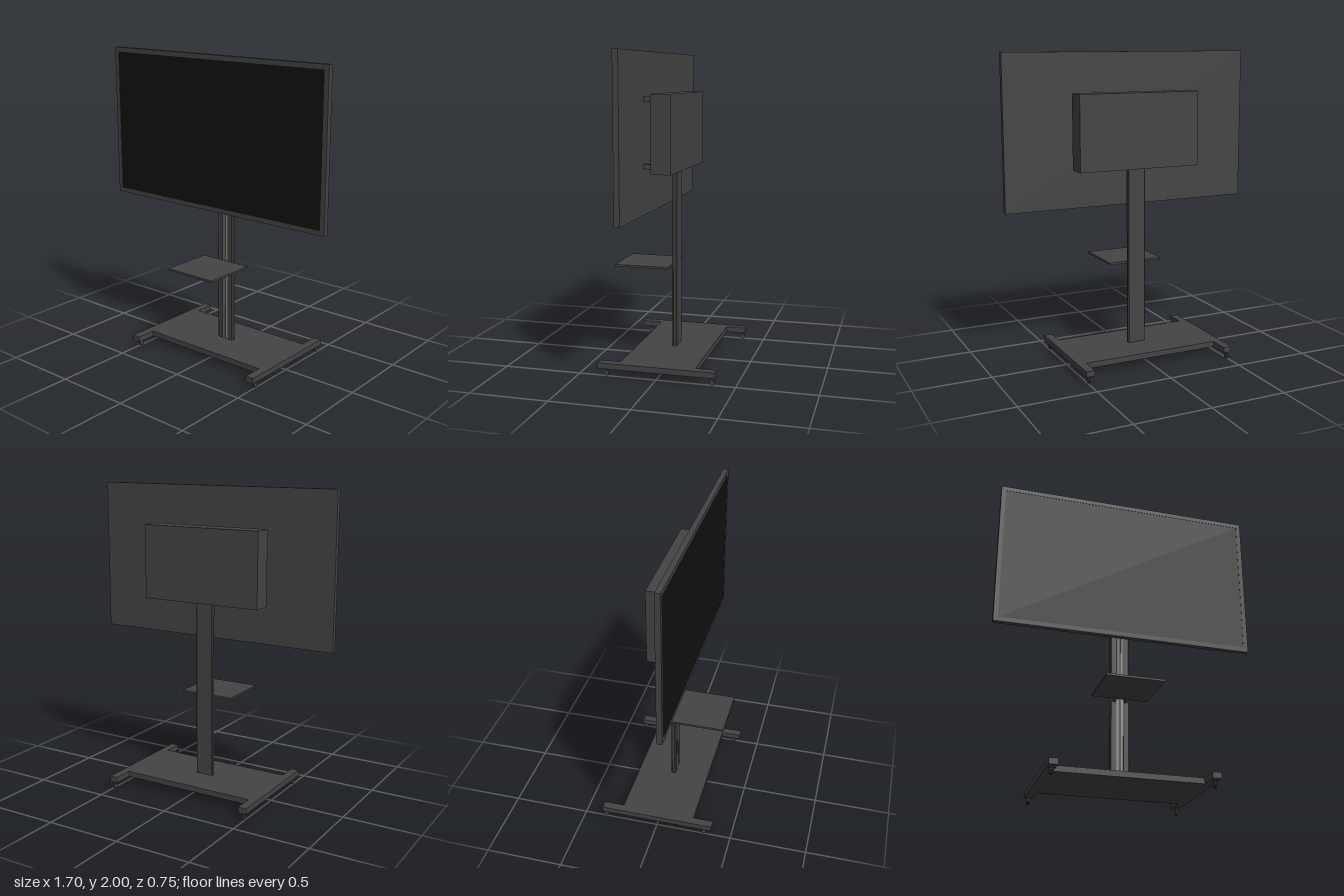
import * as THREE from 'three';

const dark = new THREE.MeshStandardMaterial({ color: 0x444444 });
const black = new THREE.MeshStandardMaterial({ color: 0x111111 });
const silver = new THREE.MeshStandardMaterial({ color: 0x8a8a8a });

function add(parent, name, geometry, material = dark) {
  const mesh = new THREE.Mesh(geometry, material);
  mesh.name = name;
  parent.add(mesh);
  return mesh;
}

// Box given by its limits on each axis
function block(parent, name, [x0, x1], [y0, y1], [z0, z1], material) {
  const mesh = add(parent, name, new THREE.BoxGeometry(x1 - x0, y1 - y0, z1 - z0), material);
  mesh.position.set((x0 + x1) / 2, (y0 + y1) / 2, (z0 + z1) / 2);
  return mesh;
}

function polygon(points) {
  return new THREE.Shape(points.map(([x, y]) => new THREE.Vector2(x, y)));
}

const extrude = (shape, depth) =>
  new THREE.ExtrudeGeometry(shape, { depth, bevelEnabled: false });

// Extrusion whose shape lies in the floor plan (x, -z) and rises in y
function plan(shape, y0, y1) {
  return extrude(shape, y1 - y0).rotateX(-Math.PI / 2).translate(0, y0, 0);
}

function createCaster(x, z) {
  const caster = new THREE.Group();
  caster.name = 'caster';
  caster.position.set(x, 0, z);
  block(caster, 'casterPlate', [-0.013, 0.013], [0.043, 0.049], [-0.013, 0.013]);
  const stem = add(caster, 'casterStem', new THREE.CylinderGeometry(0.005, 0.005, 0.018, 12));
  stem.position.y = 0.038;
  block(caster, 'casterFork', [-0.007, 0.007], [0.026, 0.034], [-0.012, 0.01]);
  for (const s of [-1, 1]) {
    const wheel = add(caster, 'casterWheel',
      new THREE.CylinderGeometry(0.016, 0.016, 0.005, 20).rotateZ(Math.PI / 2));
    wheel.position.set(s * 0.005, 0.016, -0.006);
  }
  return caster;
}

export function createModel() {
  const model = new THREE.Group();
  model.name = 'displayStand';

  // H-shaped base on four casters
  const [arm, inner, foot, plate] = [0.517, 0.462, 0.375, 0.241];
  const base = polygon([
    [-arm, -foot], [-inner, -foot], [-inner, -plate], [inner, -plate],
    [inner, -foot], [arm, -foot], [arm, foot], [inner, foot],
    [inner, plate], [-inner, plate], [-inner, foot], [-arm, foot],
  ]);
  add(model, 'base', plan(base, 0.048, 0.085));
  for (const x of [-0.493, 0.493])
    for (const z of [0.328, -0.348]) model.add(createCaster(x, z));

  // Column with a slot down its front
  const column = polygon([
    [-0.056, 0.015], [-0.062, 0.009], [-0.062, -0.009], [-0.056, -0.015],
    [-0.022, -0.015], [-0.022, -0.009], [0.022, -0.009], [0.022, -0.015],
    [0.056, -0.015], [0.062, -0.009], [0.062, 0.009], [0.056, 0.015],
  ]);
  add(model, 'column', plan(column, 0.08, 1.3));
  for (const s of [-1, 1]) {
    const rail = block(model, 'columnRail', [-0.006, 0.006], [0.085, 1.27], [0.008, 0.013], silver);
    rail.position.x = s * 0.014;
  }

  // Shelf on two triangular brackets
  block(model, 'shelf', [-0.184, 0.184], [0.627, 0.64], [0.012, 0.368]);
  const gusset = polygon([[-0.012, 0.602], [-0.012, 0.628], [-0.06, 0.628]]);
  for (const x of [-0.038, 0.038]) {
    const bracket = add(model, 'shelfBracket',
      extrude(gusset, 0.018).translate(0, 0, -0.009).rotateY(Math.PI / 2));
    // the quarter turn sends the profile's -x to +z
    bracket.position.x = x;
  }

  // Housing behind the display, with four mounting arms
  block(model, 'housing', [-0.416, 0.416], [1.26, 1.746], [-0.072, 0.054]);
  for (const x of [-0.369, 0.369])
    for (const y of [1.305, 1.713])
      block(model, 'mountArm', [x - 0.017, x + 0.017], [y - 0.015, y + 0.015], [0.05, 0.11]);

  // Display: frame, back and dark panel
  const [w, y0, y1, rim] = [0.85, 1.005, 2, 0.03];
  const frame = polygon([[-w, y0], [w, y0], [w, y1], [-w, y1]]);
  frame.holes.push(polygon([
    [-w + rim, y0 + rim], [-w + rim, y1 - rim], [w - rim, y1 - rim], [w - rim, y0 + rim],
  ]));
  add(model, 'displayFrame', extrude(frame, 0.035).translate(0, 0, 0.106));
  block(model, 'displayBack', [-w + rim, w - rim], [y0 + rim, y1 - rim], [0.106, 0.13]);
  block(model, 'displayPanel', [-w + rim, w - rim], [y0 + rim, y1 - rim], [0.13, 0.139], black);

  return model;
}
